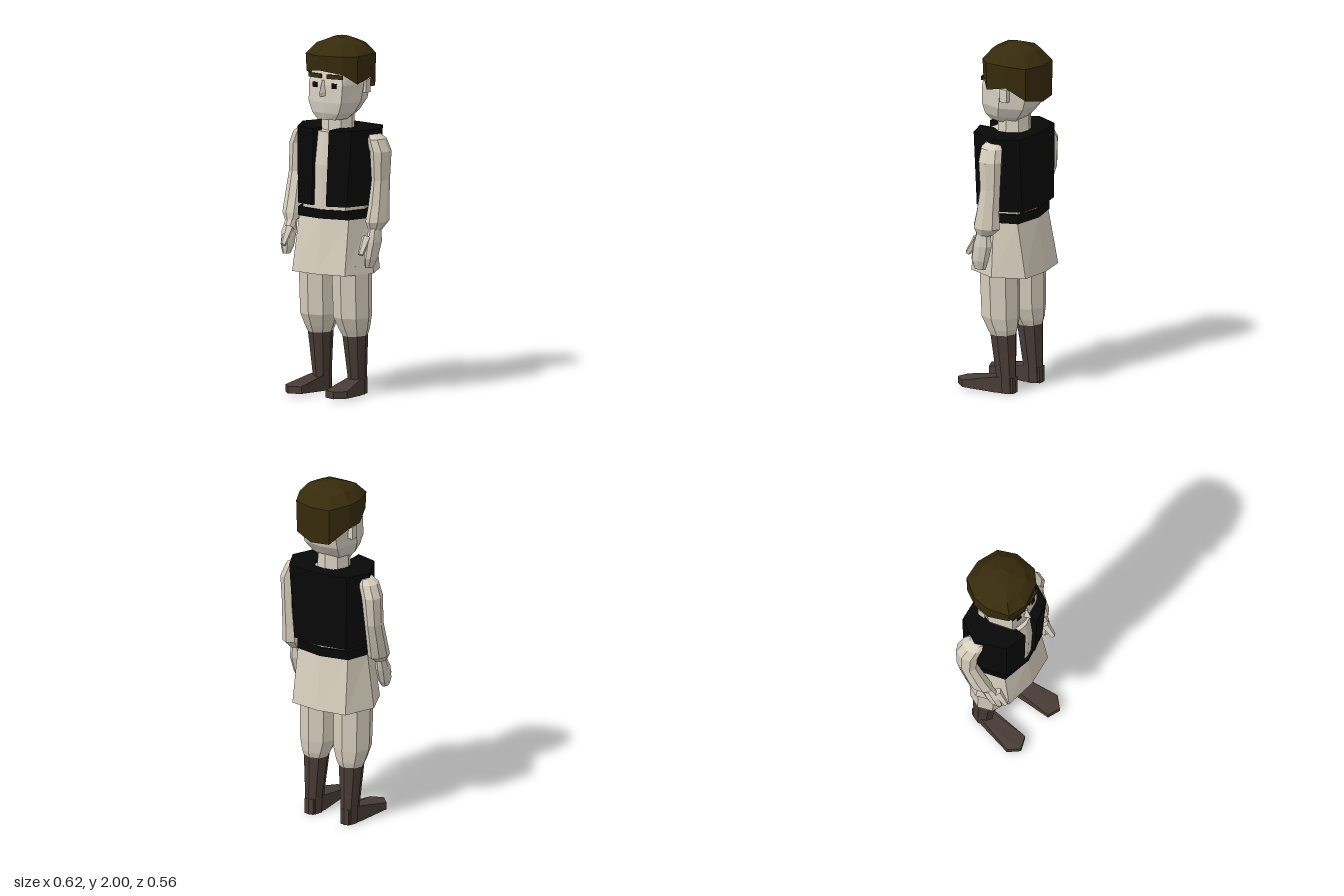
import * as THREE from 'three';

const mat = (name, color) => {
  const m = new THREE.MeshStandardMaterial({ color, flatShading: true, side: THREE.DoubleSide });
  m.name = name;
  return m;
};

// Eight-sided cross-section: half width w, corner x c, front z f, back z b, corner cut k
function ring(y, w, c, f, b, k = 0.1, cx = 0) {
  const d = (f - b) * k, m = (f + b) / 2;
  return [[0, f], [c, f - d], [w, m], [c, b + d], [0, b], [-c, b + d], [-w, m], [-c, f - d]]
    .map(([x, z]) => [x + cx, y, z]);
}
// Rounder cross-section around a centre
const disc = (x, y, z, rx, rz = rx) => ring(y, rx, rx * 0.7, z + rz, z - rz, 0.146, x);

// Skin a stack of cross-sections, listed bottom to top, and close both ends
function loft(rings) {
  const pos = [], n = rings[0].length;
  const tri = (...p) => p.forEach((v) => pos.push(...v));
  const mid = (r) => [0, 1, 2].map((a) => r.reduce((s, p) => s + p[a], 0) / n);
  const lo = rings[0], hi = rings[rings.length - 1];
  for (let i = 0; i < n; i++) {
    const j = (i + 1) % n;
    for (let r = 0; r + 1 < rings.length; r++) {
      const p = rings[r], q = rings[r + 1];
      tri(p[i], p[j], q[j]);
      tri(p[i], q[j], q[i]);
    }
    tri(mid(lo), lo[j], lo[i]);
    tri(mid(hi), hi[i], hi[j]);
  }
  const g = new THREE.BufferGeometry();
  g.setAttribute('position', new THREE.Float32BufferAttribute(pos, 3));
  g.computeVertexNormals();
  return g;
}

// Extrude a plan outline of [x, z] points upward
function plan(points, height) {
  const shape = new THREE.Shape(points.map(([x, z]) => new THREE.Vector2(x, -z)));
  return new THREE.ExtrudeGeometry(shape, { depth: height, bevelEnabled: false }).rotateX(-Math.PI / 2);
}

function reshape(g, rule) {
  const p = g.attributes.position;
  for (let i = 0; i < p.count; i++) p.setXYZ(i, ...rule(p.getX(i), p.getY(i), p.getZ(i)));
  g.computeVertexNormals();
  return g;
}

export function createModel() {
  const skin = mat('skin', 0xd8d0c2), cloth = mat('cloth', 0xd6cdbc), black = mat('black', 0x080808);
  const hairMat = mat('hair', 0x372b0c), leather = mat('leather', 0x493c36);
  const model = new THREE.Group(), body = new THREE.Group();
  body.name = 'figure';
  body.rotation.y = -Math.PI / 6; // stands turned to one side
  model.add(body);
  const add = (name, geometry, material, x = 0, y = 0, z = 0) => {
    const m = new THREE.Mesh(geometry, material);
    m.name = name;
    m.position.set(x, y, z);
    body.add(m);
    return m;
  };

  // Tunic: flared skirt, shirt and belt
  add('tunicSkirt', loft([
    ring(0.69, 0.25, 0.175, 0.17, -0.23, 0.06, -0.02),
    ring(1.0, 0.212, 0.165, 0.135, -0.185, 0.1, -0.012),
  ]), cloth);
  add('shirt', loft([
    ring(0.99, 0.19, 0.142, 0.132, -0.175, 0.1, -0.012),
    ring(1.3, 0.19, 0.145, 0.135, -0.175, 0.1, -0.006),
    ring(1.485, 0.19, 0.14, 0.11, -0.17),
  ]), cloth);
  add('belt', loft([1.0, 1.05].map((y) => ring(y, 0.214, 0.168, 0.142, -0.19, 0.1, -0.014))), black);

  // Open vest with a front gap and a neck opening
  const half = [[0.052, 0.062], [0.052, 0.15], [0.18, 0.115], [0.255, -0.05], [0.19, -0.185], [0, -0.21]];
  const neckHalf = [[0, -0.13], [0.06, -0.12], [0.098, -0.06], [0.098, 0]];
  const flip = (a) => a.map(([x, z]) => [-x, z]).reverse();
  const outline = [...half, ...flip(half.slice(0, -1)), ...flip(neckHalf), ...neckHalf.slice(1)];
  add('vest', reshape(plan(outline, 0.43), (x, y, z) => {
    const t = y / 0.43;
    return [x * (0.9 + 0.1 * t) - 0.015 * (1 - t), y, z];
  }), black, 0, 1.072, 0);

  // Legs, boots and feet, the right leg set slightly back and out
  for (const s of [1, -1]) {
    const side = s > 0 ? 'left' : 'right';
    const dx = s > 0 ? -0.014 : -0.02, dz = s > 0 ? 0.012 : -0.012;
    add(side + 'Trouser', loft([
      disc(s * 0.12, 0.33, -0.045, 0.068, 0.075),
      disc(s * 0.118, 0.37, -0.04, 0.086, 0.092),
      disc(s * 0.115, 0.44, -0.026, 0.108, 0.112),
      disc(s * 0.115, 0.74, -0.018, 0.113, 0.118),
    ]), cloth, dx, 0, dz);
    add(side + 'Boot', loft([
      disc(s * 0.122, 0, -0.065, 0.047, 0.062),
      disc(s * 0.122, 0.1, -0.063, 0.05, 0.062),
      disc(s * 0.12, 0.345, -0.045, 0.071, 0.078),
    ]), leather, dx, 0, dz);
    const sole = [[0.095, -0.122], [0.15, -0.122], [0.172, -0.02], [0.21, 0.17], [0.157, 0.228], [0.085, 0.2], [0.08, -0.02]];
    add(side + 'Foot', reshape(plan(sole.map(([x, z]) => [s * x, z]), 0.1),
      (x, y, z) => [x, y < 0.05 ? (z > 0.1 ? 0.012 : 0) : z > 0.1 ? 0.052 : 0.09, z]), leather, dx, 0, dz);
  }

  // Arms: sleeve sections as [x, y, z, rx, rz], then the hand and thumb
  const arms = {
    left: {
      sleeve: [[0.258, 0.945, -0.005, 0.036, 0.048], [0.263, 0.99, -0.02, 0.058, 0.084], [0.266, 1.08, -0.03, 0.052, 0.072],
        [0.268, 1.22, -0.045, 0.045, 0.064], [0.268, 1.38, -0.045, 0.055, 0.072], [0.243, 1.45, -0.04, 0.052, 0.066], [0.225, 1.475, -0.04, 0.03, 0.045]],
      hand: [[0.245, 0.735, 0.035, 0.018, 0.035], [0.254, 0.79, 0.03, 0.03, 0.055], [0.26, 0.88, 0.01, 0.035, 0.06], [0.26, 0.97, 0, 0.03, 0.04]],
      thumb: [0.24, 0.86, 0.085],
    },
    right: {
      sleeve: [[-0.268, 0.96, 0.04, 0.035, 0.044], [-0.28, 1.0, 0.005, 0.054, 0.076], [-0.288, 1.08, -0.025, 0.052, 0.07],
        [-0.298, 1.22, -0.072, 0.047, 0.064], [-0.288, 1.38, -0.075, 0.055, 0.07], [-0.255, 1.45, -0.06, 0.054, 0.064], [-0.235, 1.475, -0.05, 0.03, 0.045]],
      hand: [[-0.255, 0.78, 0.11, 0.018, 0.03], [-0.26, 0.82, 0.095, 0.03, 0.05], [-0.265, 0.9, 0.07, 0.035, 0.055], [-0.268, 0.97, 0.04, 0.03, 0.038]],
      thumb: [-0.245, 0.88, 0.13],
    },
  };
  for (const [side, a] of Object.entries(arms)) {
    add(side + 'Sleeve', loft(a.sleeve.map((p) => disc(...p))), cloth);
    add(side + 'Hand', loft(a.hand.map((p) => disc(...p))), skin);
    add(side + 'Thumb', new THREE.CylinderGeometry(0.028, 0.016, 0.11, 5), skin, ...a.thumb).rotation.x = -0.6;
  }

  // Neck and head
  add('neck', loft([disc(-0.01, 1.46, -0.035, 0.095), disc(-0.01, 1.62, -0.035, 0.092)]), skin);
  add('head', loft([
    ring(1.55, 0.085, 0.06, 0.1, -0.09, 0.08, -0.008),
    ring(1.59, 0.125, 0.088, 0.117, -0.13, 0.07, -0.005),
    ring(1.65, 0.152, 0.108, 0.124, -0.175, 0.06, -0.003),
    ring(1.75, 0.158, 0.112, 0.123, -0.205, 0.06),
    ring(1.88, 0.145, 0.09, 0.1, -0.2, 0.06),
  ]), skin);
  add('nose', loft([
    [[-0.008, 1.685, 0.15], [0.018, 1.69, 0.11], [-0.03, 1.69, 0.11]],
    [[-0.008, 1.705, 0.156], [0.018, 1.71, 0.11], [-0.03, 1.71, 0.11]],
    [[-0.006, 1.775, 0.128], [0.008, 1.775, 0.11], [-0.02, 1.775, 0.11]],
  ]), skin);
  for (const s of [1, -1]) {
    const side = s > 0 ? 'left' : 'right';
    add(side + 'Ear', new THREE.BoxGeometry(0.03, 0.075, 0.045), skin, s * 0.155, 1.735, -0.07);
    const eye = add(side + 'Eye', new THREE.BoxGeometry(0.03, 0.028, 0.009), black, s * 0.063, 1.746, 0.1135);
    const brow = add(side + 'Eyebrow', new THREE.BoxGeometry(0.095, 0.024, 0.009), hairMat, s * 0.066, 1.797, 0.11);
    eye.rotation.y = brow.rotation.y = s * 0.17;
  }

  // Hair: faceted cap with a jagged fringe, falling to the nape
  const plot = [[-0.03, 0.135], [0.11, 0.1], [0.172, 0.04], [0.182, -0.09], [0.137, -0.195],
    [0.015, -0.24], [-0.1, -0.228], [-0.168, -0.12], [-0.175, -0.02], [-0.135, 0.1]];
  const hem = [1.83, 1.81, 1.755, 1.785, 1.715, 1.69, 1.695, 1.77, 1.775, 1.815];
  const hairRing = (scale, yAt) => plot.map(([x, z], i) => [x * scale, yAt(i), -0.055 + (z + 0.055) * scale]);
  add('hair', loft([
    hairRing(0.87, () => 1.86),
    hairRing(0.975, (i) => hem[i]),
    hairRing(1, (i) => (i > 3 && i < 7 ? 1.9 : 1.912)),
    hairRing(0.7, (i) => 1.962 + (i % 2) * 0.01),
    hairRing(0.22, () => 2),
  ]), hairMat);

  return model;
}
